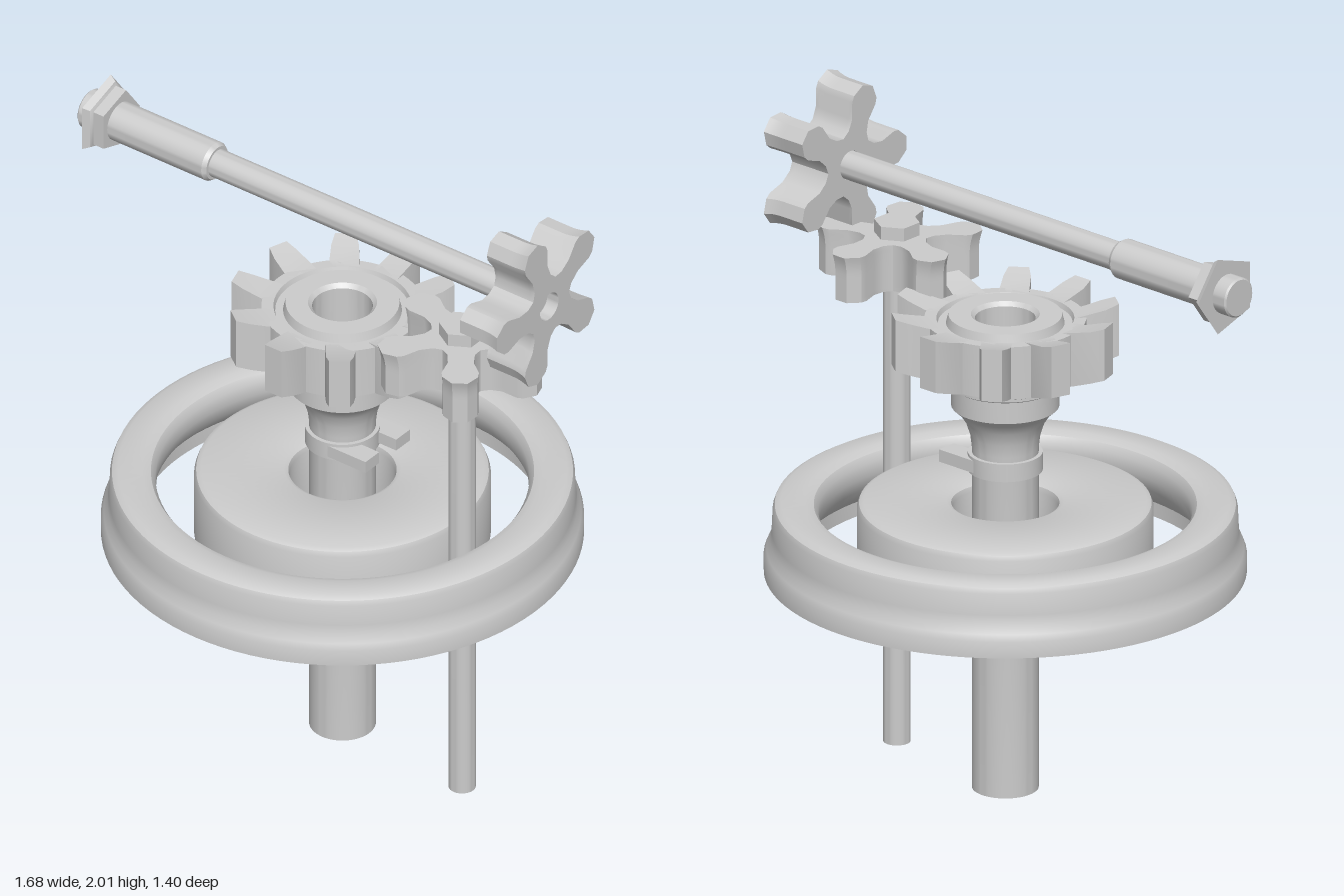
import * as THREE from 'three';
import { toCreasedNormals } from 'three/addons/utils/BufferGeometryUtils.js';

const material = new THREE.MeshStandardMaterial({ color: 0xcccccc });
const AXIS_X = 0.085; // main vertical axis

function part(name, geometry, x = 0, y = 0, z = 0) {
  const mesh = new THREE.Mesh(toCreasedNormals(geometry, 0.55), material);
  mesh.name = name;
  mesh.position.set(x, y, z);
  return mesh;
}

// Profile of [radius, height] pairs, outside running upwards
function lathe(profile, sides = 64, start = 0) {
  return new THREE.LatheGeometry(profile.map(([r, y]) => new THREE.Vector2(r, y)), sides, start);
}

// Five-armed gear extruded along z, its far end flaring outwards
function starGear(depth, startAngle, holeRadius) {
  const arm = [[0.1, -0.04], [0.135, -0.036], [0.185, -0.052], [0.205, -0.05], [0.238, -0.022]];
  const outline = [...arm, ...arm.map(([r, w]) => [r, -w]).reverse()];
  const points = [];
  for (let i = 0; i < 5; i++) {
    const a = startAngle + (i * Math.PI * 2) / 5;
    const c = Math.cos(a), s = Math.sin(a);
    for (const [r, w] of outline) points.push(new THREE.Vector2(r * c - w * s, r * s + w * c));
    const v = a + Math.PI / 5;
    points.push(new THREE.Vector2(0.094 * Math.cos(v), 0.094 * Math.sin(v)));
  }
  const shape = new THREE.Shape(points);
  if (holeRadius) shape.holes.push(new THREE.Path().absarc(0, 0, holeRadius, 0, Math.PI * 2, true));
  const geometry = new THREE.ExtrudeGeometry(shape, { depth, steps: 10, bevelEnabled: false, curveSegments: 16 });
  const p = geometry.attributes.position;
  for (let i = 0; i < p.count; i++) {
    const x = p.getX(i), y = p.getY(i);
    if (Math.hypot(x, y) < 0.12) continue;
    const k = 1 + 0.045 * Math.max(0, (p.getZ(i) / depth - 0.6) / 0.4) ** 2;
    p.setXY(i, x * k, y * k);
  }
  return geometry;
}

// Tapered tooth pointing along +x, its tip raised above its root
function toothGeometry() {
  const shape = new THREE.Shape([
    [0.2, -0.045], [0.235, -0.044], [0.29, -0.04], [0.33, -0.03],
    [0.33, 0.03], [0.29, 0.04], [0.235, 0.044], [0.2, 0.045],
  ].map(([x, y]) => new THREE.Vector2(x, y)));
  const geometry = new THREE.ExtrudeGeometry(shape, { depth: 0.16, bevelEnabled: false });
  geometry.rotateX(-Math.PI / 2);
  const p = geometry.attributes.position;
  for (let i = 0; i < p.count; i++) {
    p.setY(i, p.getY(i) + 0.3 * Math.max(0, p.getX(i) - 0.235));
  }
  return geometry;
}

export function createModel() {
  const model = new THREE.Group();
  model.name = 'gearMechanism';

  // Flanged wheel rim
  model.add(part('wheelRim', lathe([
    [0.6, 0.675], [0.7, 0.675], [0.7, 0.725], [0.692, 0.745], [0.681, 0.77], [0.677, 0.8],
    [0.674, 0.865], [0.668, 0.88], [0.65, 0.89], [0.58, 0.89], [0.555, 0.88], [0.542, 0.86],
    [0.54, 0.82], [0.55, 0.78], [0.58, 0.74], [0.6, 0.72], [0.6, 0.675],
  ], 96), AXIS_X));

  // Inner disc
  model.add(part('innerDisc', lathe([
    [0.153, 0.675], [0.43, 0.675], [0.43, 0.87], [0.424, 0.885], [0.41, 0.892],
    [0.17, 0.892], [0.157, 0.885], [0.153, 0.87], [0.153, 0.675],
  ], 80), AXIS_X));

  // Main spindle with its flared collar
  model.add(part('mainSpindle', lathe([
    [0, 0], [0.097, 0], [0.097, 1.06], [0.102, 1.1], [0.115, 1.14], [0.135, 1.17], [0.157, 1.19],
    [0.157, 1.255], [0.165, 1.26], [0.165, 1.268], [0.174, 1.272], [0.174, 1.285], [0.15, 1.31],
  ]), AXIS_X));

  // Clamp with a pair of ears
  const clamp = new THREE.Group();
  clamp.name = 'spindleClamp';
  clamp.add(part('clampBand', lathe([[0.09, 0.99], [0.109, 0.99], [0.109, 1.045], [0.09, 1.045]]), AXIS_X));
  for (const side of [-1, 1]) {
    clamp.add(part('clampEar', new THREE.BoxGeometry(0.18, 0.038, 0.065), AXIS_X + 0.075, 1.017, side * 0.073));
  }
  model.add(clamp);

  // Large ten-toothed gear
  const crown = new THREE.Group();
  crown.name = 'largeGear';
  crown.position.x = AXIS_X;
  crown.add(part('largeGearBody', lathe([
    [0, 1.3], [0.235, 1.3], [0.235, 1.46], [0.2, 1.46], [0.195, 1.445], [0.172, 1.445],
    [0.165, 1.472], [0.1, 1.472], [0.088, 1.46], [0.088, 1.34], [0, 1.34],
  ])));
  const tooth = toothGeometry();
  for (let i = 0; i < 10; i++) {
    const mesh = part('largeGearTooth', tooth, 0, 1.3, 0);
    mesh.rotation.y = Math.PI / 2 + (i * Math.PI) / 5;
    crown.add(mesh);
  }
  model.add(crown);

  // Side shaft with its five-armed pinion and nut
  const sideShaft = new THREE.Group();
  sideShaft.name = 'sideShaft';
  sideShaft.position.set(0.56, 0, 0.05);
  sideShaft.add(part('sideRod', lathe([[0, 0], [0.04, 0], [0.04, 1.5]], 32)));
  const pinion = starGear(0.143, Math.PI / 2, 0);
  pinion.rotateX(-Math.PI / 2);
  sideShaft.add(part('sidePinion', pinion, 0, 1.437, 0));
  sideShaft.add(part('sideNut', new THREE.CylinderGeometry(0.068, 0.068, 0.06, 6), 0, 1.59, 0));
  model.add(sideShaft);

  // Horizontal drive shaft, profile laid along x
  const drive = new THREE.Group();
  drive.name = 'driveShaft';
  drive.position.y = 1.77;
  const alongX = (geometry) => geometry.rotateZ(-Math.PI / 2);
  drive.add(part('driveRod', alongX(lathe([
    [0, -0.84], [0.055, -0.84], [0.06, -0.835], [0.06, -0.385], [0.052, -0.372],
    [0.043, -0.372], [0.043, 0.8], [0, 0.8],
  ], 40))));
  drive.add(part('driveNut', alongX(lathe([
    [0.05, -0.79], [0.122, -0.79], [0.108, -0.77], [0.096, -0.765], [0.096, -0.728], [0.05, -0.728],
  ], 5, Math.PI))));
  const star = starGear(0.143, Math.PI, 0.044);
  star.rotateY(Math.PI / 2);
  drive.add(part('driveGear', star, 0.697, 0, 0));
  model.add(drive);

  return model;
}
